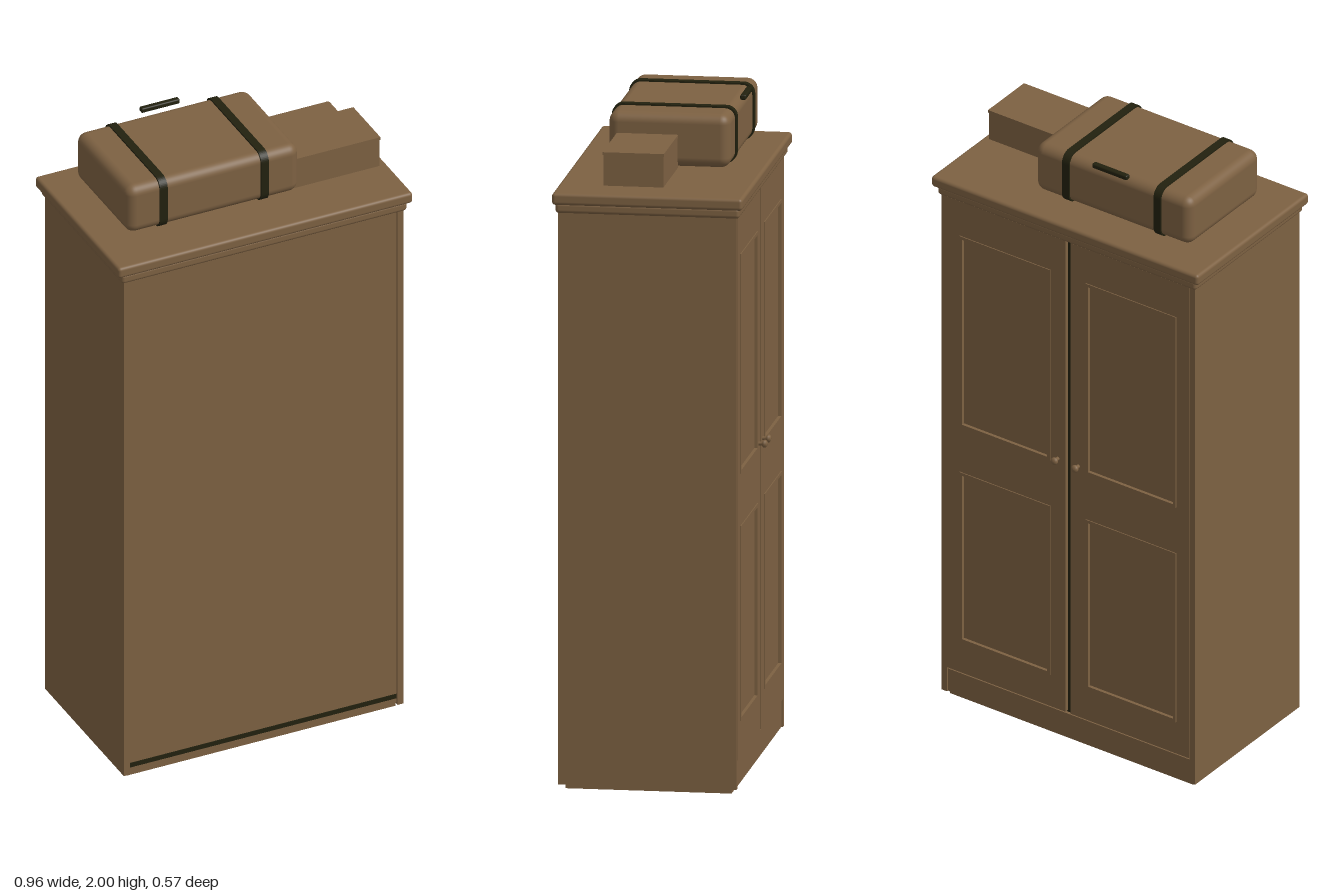
import * as THREE from 'three';
import { RoundedBoxGeometry } from 'three/addons/geometries/RoundedBoxGeometry.js';

const wood = new THREE.MeshStandardMaterial({ color: 0x7d6142 });
wood.name = 'brown wood';
const dark = new THREE.MeshStandardMaterial({ color: 0x22210f });
dark.name = 'dark leather';

function add(parent, name, geometry, material = wood) {
  const mesh = new THREE.Mesh(geometry, material);
  mesh.name = name;
  parent.add(mesh);
  return mesh;
}

// Box given by its limits on each axis; r rounds the edges
function box(parent, name, [x0, x1], [y0, y1], [z0, z1], material = wood, r = 0) {
  const size = [x1 - x0, y1 - y0, z1 - z0];
  const geometry = r ? new RoundedBoxGeometry(...size, 4, r) : new THREE.BoxGeometry(...size);
  const mesh = add(parent, name, geometry, material);
  mesh.position.set((x0 + x1) / 2, (y0 + y1) / 2, (z0 + z1) / 2);
  return mesh;
}

function rect(path, x0, x1, y0, y1) {
  path.moveTo(x0, y0);
  path.lineTo(x1, y0);
  path.lineTo(x1, y1);
  path.lineTo(x0, y1);
  path.closePath();
  return path;
}

function roundedRect(path, x0, x1, y0, y1, r) {
  path.absarc(x1 - r, y0 + r, r, -Math.PI / 2, 0);
  path.absarc(x1 - r, y1 - r, r, 0, Math.PI / 2);
  path.absarc(x0 + r, y1 - r, r, Math.PI / 2, Math.PI);
  path.absarc(x0 + r, y0 + r, r, Math.PI, Math.PI * 1.5);
  path.closePath();
  return path;
}

const extrude = (shape, depth) =>
  new THREE.ExtrudeGeometry(shape, { depth, bevelEnabled: false, curveSegments: 6 });

// Panelled door on the -z side, side = 1 or -1
function makeDoor(side) {
  const door = new THREE.Group();
  door.name = side > 0 ? 'leftDoor' : 'rightDoor';
  const span = (a, b) => (side > 0 ? [a, b] : [-b, -a]);
  const frame = rect(new THREE.Shape(), ...span(0.009, 0.437), 0.1, 1.735);
  const [x0, x1] = span(0.07, 0.385);
  for (const [y0, y1] of [[0.215, 0.79], [0.96, 1.61]]) {
    frame.holes.push(rect(new THREE.Path(), x0, x1, y0, y1));
    box(door, 'doorPanel', [x0, x1], [y0, y1], [-0.256, -0.244]);
    // moulding lip around the panel
    const lip = rect(new THREE.Shape(), x0 - 0.006, x1 + 0.006, y0 - 0.006, y1 + 0.006);
    lip.holes.push(rect(new THREE.Path(), x0 + 0.004, x1 - 0.004, y0 + 0.004, y1 - 0.004));
    add(door, 'panelMoulding', extrude(lip, 0.01)).position.z = -0.266;
  }
  add(door, 'doorFrame', extrude(frame, 0.02)).position.z = -0.263;

  // turned knob
  const profile = [[0, 0.027], [0.008, 0.026], [0.012, 0.021], [0.011, 0.015], [0.006, 0.011], [0.006, 0]]
    .reverse().map(([r, h]) => new THREE.Vector2(r, h));
  const knob = add(door, 'knob', new THREE.LatheGeometry(profile, 16));
  knob.rotation.x = -Math.PI / 2;
  knob.position.set(side * 0.037, 0.97, -0.262);
  return door;
}

function makeSuitcase() {
  const suitcase = new THREE.Group();
  suitcase.name = 'suitcase';
  box(suitcase, 'suitcaseBody', [-0.393, 0.17], [1.822, 1.983], [-0.197, 0.165], wood, 0.03);
  // straps wrapped around the case
  for (const x of [-0.278, 0.053]) {
    const band = roundedRect(new THREE.Shape(), -0.17, 0.202, 1.818, 1.988, 0.033);
    band.holes.push(roundedRect(new THREE.Path(), -0.163, 0.195, 1.825, 1.981, 0.028));
    const strap = add(suitcase, 'strap', extrude(band, 0.025), dark);
    strap.rotation.y = Math.PI / 2;
    strap.position.x = x - 0.0125;
  }
  box(suitcase, 'suitcaseHandle', [-0.175, -0.049], [1.984, 2.0], [-0.212, -0.194], dark, 0.005);
  return suitcase;
}

export function createModel() {
  const model = new THREE.Group();
  model.name = 'wardrobe';

  // carcass
  box(model, 'carcass', [-0.44, 0.44], [0.02, 1.74], [-0.245, 0.262]);
  box(model, 'base', [-0.44, 0.44], [0, 0.025], [-0.245, 0.25]);
  for (const s of [-1, 1]) {
    box(model, 'sidePanel', s > 0 ? [0.438, 0.458] : [-0.458, -0.438], [0.015, 1.745], [-0.262, 0.27]);
  }
  box(model, 'plinth', [-0.438, 0.438], [0.015, 0.092], [-0.257, -0.24]);
  box(model, 'plinthGap', [-0.438, 0.438], [0.088, 0.102], [-0.247, -0.24], dark);
  box(model, 'backShadowStrip', [-0.438, 0.438], [0.035, 0.05], [0.26, 0.264], dark);

  // doors and the dark gap between them
  model.add(makeDoor(1), makeDoor(-1));
  box(model, 'doorGap', [-0.009, 0.009], [0.1, 1.735], [-0.25, -0.243], dark);

  // stepped cornice
  box(model, 'corniceLower', [-0.467, 0.467], [1.737, 1.768], [-0.272, 0.277], wood, 0.01);
  box(model, 'corniceUpper', [-0.482, 0.482], [1.764, 1.8], [-0.283, 0.285], wood, 0.01);

  // luggage on top
  model.add(makeSuitcase());
  box(model, 'storageBox', [0.16, 0.443], [1.82, 1.917], [-0.042, 0.137]);
  box(model, 'storageBoxLid', [0.16, 0.445], [1.912, 1.921], [-0.044, 0.139]);
  return model;
}
